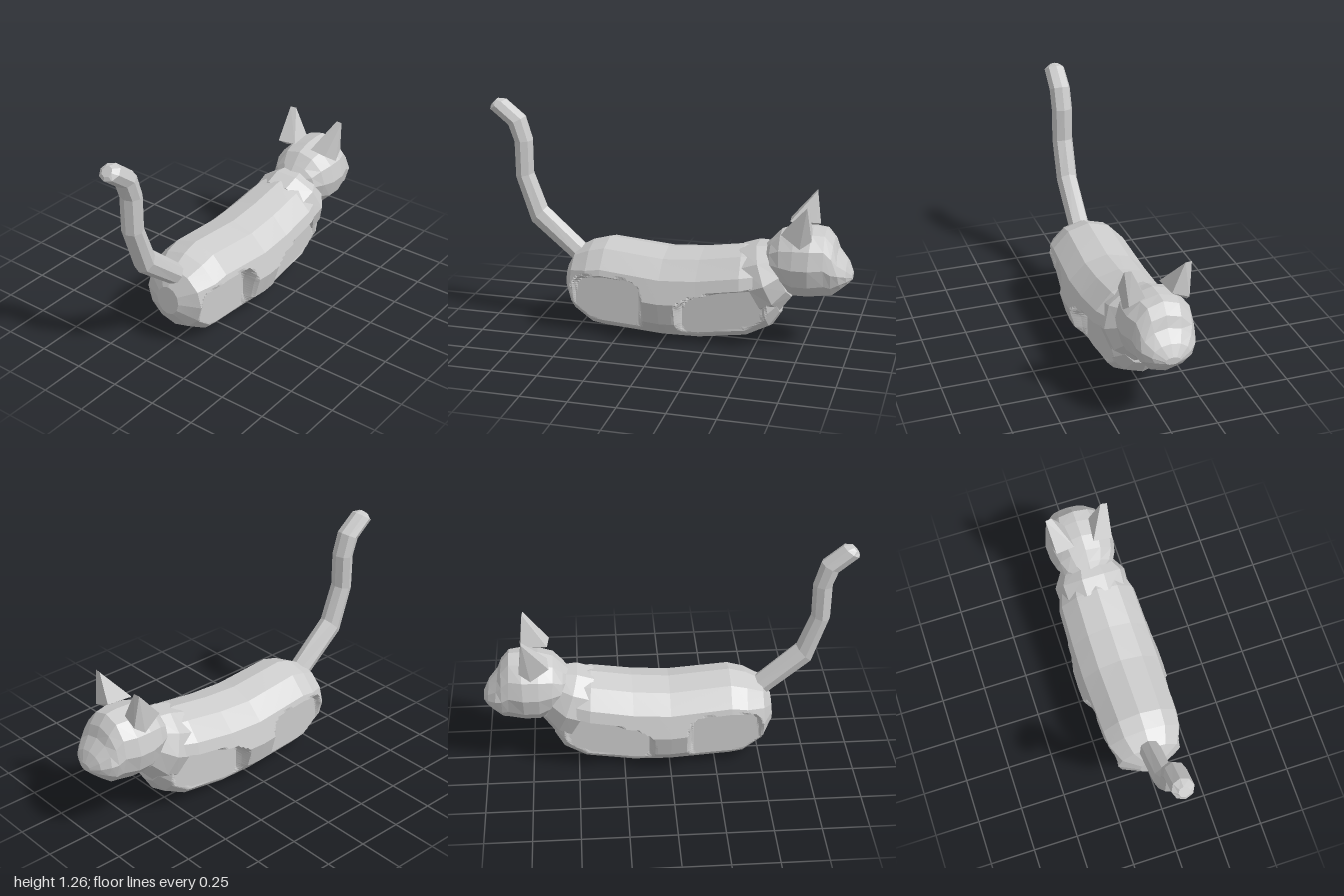
import * as THREE from 'three';
import { ConvexGeometry } from 'three/addons/geometries/ConvexGeometry.js';

const material = new THREE.MeshStandardMaterial({ color: 0xcccccc, flatShading: true });
const lerp = THREE.MathUtils.lerp;

// Skin a row of faceted elliptical rings. Each ring is
// [bottom z, bottom y, top z, top y, half width]; sub/step refine the facets.
function loft(rings, sides, { sub = 1, step = Infinity, deform = null } = {}) {
  const rows = [];
  rings.forEach((ring, i) => {
    if (i === 0) return rows.push(ring);
    const prev = rings[i - 1];
    const n = Math.max(1, Math.ceil(Math.abs(ring[0] - prev[0]) / step));
    for (let k = 1; k <= n; k++) rows.push(ring.map((v, j) => lerp(prev[j], v, k / n)));
  });

  const count = sides * sub;
  const positions = [];
  const index = [];
  for (const [zb, yb, zt, yt, w] of rows) {
    for (let i = 0; i < count; i++) {
      const a = (Math.floor(i / sub) / sides) * Math.PI * 2;
      const b = a + (Math.PI * 2) / sides;
      const f = (i % sub) / sub;
      const c = lerp(Math.cos(a), Math.cos(b), f);
      const s = lerp(Math.sin(a), Math.sin(b), f) * 0.5 + 0.5;
      const p = new THREE.Vector3(w * c, lerp(yb, yt, s), lerp(zb, zt, s));
      if (deform) deform(p);
      positions.push(p.x, p.y, p.z);
    }
  }
  for (let r = 0; r < rows.length - 1; r++) {
    for (let i = 0; i < count; i++) {
      const a = r * count + i;
      const b = r * count + ((i + 1) % count);
      index.push(a, a + count, b, b, a + count, b + count);
    }
  }
  // End caps
  const last = (rows.length - 1) * count;
  for (const start of [0, last]) {
    const [zb, yb, zt, yt] = rows[start / count];
    const centre = positions.length / 3;
    positions.push(0, (yb + yt) / 2, (zb + zt) / 2);
    for (let i = 0; i < count; i++) {
      const a = start + i;
      const b = start + ((i + 1) % count);
      if (start === 0) index.push(centre, a, b);
      else index.push(centre, b, a);
    }
  }
  const geometry = new THREE.BufferGeometry();
  geometry.setAttribute('position', new THREE.Float32BufferAttribute(positions, 3));
  geometry.setIndex(index);
  geometry.computeVertexNormals();
  return geometry;
}

function add(parent, name, geometry) {
  const mesh = new THREE.Mesh(geometry, material);
  mesh.name = name;
  parent.add(mesh);
}

// Leg sockets pressed into both flanks: rounded outlines in the z-y plane
const sockets = [
  { z: 0.3, y: 0.195, rz: 0.205, ry: 0.165, slope: 0 },
  { z: -0.33, y: 0.205, rz: 0.245, ry: 0.125, slope: -0.22 },
];

function pressSockets(p) {
  for (const s of sockets) {
    const u = (p.z - s.z) / s.rz;
    const v = (p.y - s.y - (p.z - s.z) * s.slope) / s.ry;
    const edge = Math.pow(u ** 4 + v ** 4, 0.25);
    if (edge >= 1) continue;
    const depth = Math.min(1, (1 - edge) / 0.1);
    const inner = Math.min(Math.abs(p.x), 0.15);
    p.x = Math.sign(p.x) * lerp(Math.abs(p.x), inner, depth);
  }
}

export function createModel() {
  const cat = new THREE.Group();
  cat.name = 'cat';

  // Body, from rump to chest
  add(cat, 'body', loft([
    [0.57, 0.2, 0.56, 0.36, 0.07],
    [0.51, 0.1, 0.51, 0.45, 0.18],
    [0.4, 0.03, 0.42, 0.5, 0.23],
    [0.33, 0.018, 0.33, 0.525, 0.238],
    [0, 0, 0, 0.495, 0.25],
    [-0.2, 0.003, -0.2, 0.51, 0.247],
    [-0.46, 0.04, -0.42, 0.545, 0.238],
    [-0.58, 0.1, -0.52, 0.54, 0.2],
    [-0.63, 0.18, -0.59, 0.46, 0.13],
  ], 12, { sub: 8, step: 0.015, deform: pressSockets }));

  // Neck, slanting up into the head
  add(cat, 'neck', loft([
    [-0.57, 0.17, -0.4, 0.54, 0.2],
    [-0.63, 0.2, -0.49, 0.57, 0.205],
    [-0.69, 0.28, -0.58, 0.57, 0.15],
  ], 10));

  // Head, from nape to muzzle
  const head = new THREE.Group();
  head.name = 'head';
  cat.add(head);
  add(head, 'skull', loft([
    [-0.52, 0.44, -0.51, 0.53, 0.04],
    [-0.58, 0.38, -0.57, 0.595, 0.14],
    [-0.64, 0.325, -0.62, 0.65, 0.17],
    [-0.7, 0.287, -0.7, 0.675, 0.187],
    [-0.78, 0.288, -0.79, 0.68, 0.19],
    [-0.87, 0.3, -0.855, 0.675, 0.165],
    [-0.9, 0.305, -0.9, 0.62, 0.155],
    [-0.95, 0.35, -0.92, 0.56, 0.14],
    [-0.98, 0.38, -0.97, 0.5, 0.1],
    [-1, 0.4, -1, 0.44, 0.04],
  ], 12));

  // Ears: leaning wedges with a short blunt tip
  for (const side of [1, -1]) {
    const corners = [
      [0.055, 0.67, -0.65], [0.16, 0.665, -0.64], [0.168, 0.595, -0.74],
      [0.158, 0.64, -0.8], [0.07, 0.67, -0.79],
      [0.14, 0.825, -0.78], [0.175, 0.825, -0.775],
    ];
    add(head, side > 0 ? 'leftEar' : 'rightEar', new ConvexGeometry(
      corners.map(([x, y, z]) => new THREE.Vector3(side * x, y, z))));
  }

  // Tail, from tip down to the rump
  add(cat, 'tail', loft([
    [0.995, 1.215, 0.955, 1.258, 0.03],
    [1, 1.195, 0.91, 1.255, 0.058],
    [0.9, 1.115, 0.8, 1.165, 0.06],
    [0.868, 1.03, 0.762, 1.035, 0.06],
    [0.865, 0.83, 0.762, 0.85, 0.06],
    [0.78, 0.57, 0.69, 0.665, 0.06],
    [0.55, 0.38, 0.47, 0.465, 0.06],
    [0.48, 0.32, 0.4, 0.4, 0.06],
  ], 8));

  return cat;
}
